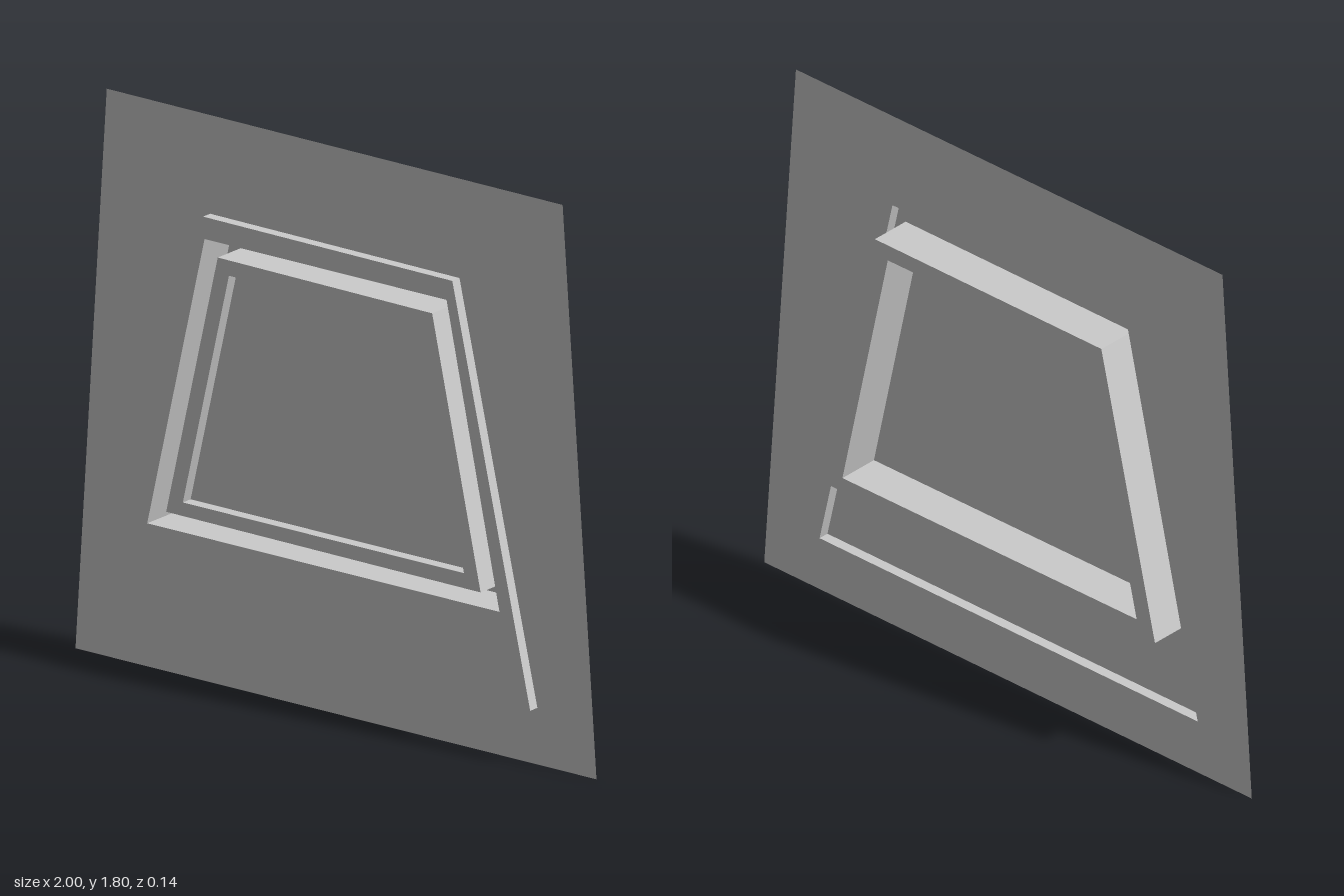
import * as THREE from 'three';

const material = new THREE.MeshStandardMaterial({
  color: 0xcccccc, flatShading: true, side: THREE.DoubleSide,
});

// Trapezoid outlines, counter-clockwise from bottom left, seen from the front
const sheet = [[-1, 0], [1, 0], [0.87, 1.8], [-0.88, 1.805]];
const plate = [[-0.778, 0.18], [0.773, 0.18], [0.474, 1.485], [-0.483, 1.49]];
const groove = [[-0.697, 0.47], [0.655, 0.47], [0.452, 1.42], [-0.477, 1.42]];
const rim = [[-0.622, 0.523], [0.585, 0.518], [0.399, 1.367], [-0.424, 1.373]];
const centre = [[-0.558, 0.566], [0.521, 0.566], [0.356, 1.324], [-0.381, 1.324]];

// Depth of each level
const Z_SHEET = 0.032, Z_PLATE = 0.067, Z_GROOVE = -0.07, Z_RIM = 0.07;

function addMesh(group, name, positions) {
  const geometry = new THREE.BufferGeometry();
  geometry.setAttribute('position', new THREE.Float32BufferAttribute(positions, 3));
  geometry.computeVertexNormals();
  const mesh = new THREE.Mesh(geometry, material);
  mesh.name = name;
  group.add(mesh);
}

// Band of quads joining an outer outline at one depth to an inner one at another
function addBand(group, name, outer, zOuter, inner, zInner) {
  const positions = [];
  outer.forEach((p, i) => {
    const j = (i + 1) % outer.length;
    const a = [...p, zOuter], b = [...outer[j], zOuter];
    const c = [...inner[j], zInner], d = [...inner[i], zInner];
    positions.push(...a, ...b, ...c, ...a, ...c, ...d);
  });
  addMesh(group, name, positions);
}

export function createModel() {
  const model = new THREE.Group();
  model.name = 'steppedPanel';

  // Flat surround and the raised plate
  addBand(model, 'surroundSheet', sheet, Z_SHEET, plate, Z_SHEET);
  addBand(model, 'plateWall', plate, Z_SHEET, plate, Z_PLATE);
  addBand(model, 'plateFace', plate, Z_PLATE, groove, Z_PLATE);

  // Deep groove that stands out at the back
  addBand(model, 'grooveOuterWall', groove, Z_PLATE, groove, Z_GROOVE);
  addBand(model, 'grooveFloor', groove, Z_GROOVE, rim, Z_GROOVE);
  addBand(model, 'grooveInnerWall', rim, Z_GROOVE, rim, Z_RIM);

  // Narrow rim around the sunken centre panel
  addBand(model, 'rimFace', rim, Z_RIM, centre, Z_RIM);
  addBand(model, 'rimInnerWall', centre, Z_RIM, centre, Z_SHEET);
  const [a, b, c, d] = centre.map((p) => [...p, Z_SHEET]);
  addMesh(model, 'centrePanel', [...a, ...b, ...c, ...a, ...c, ...d]);

  return model;
}
